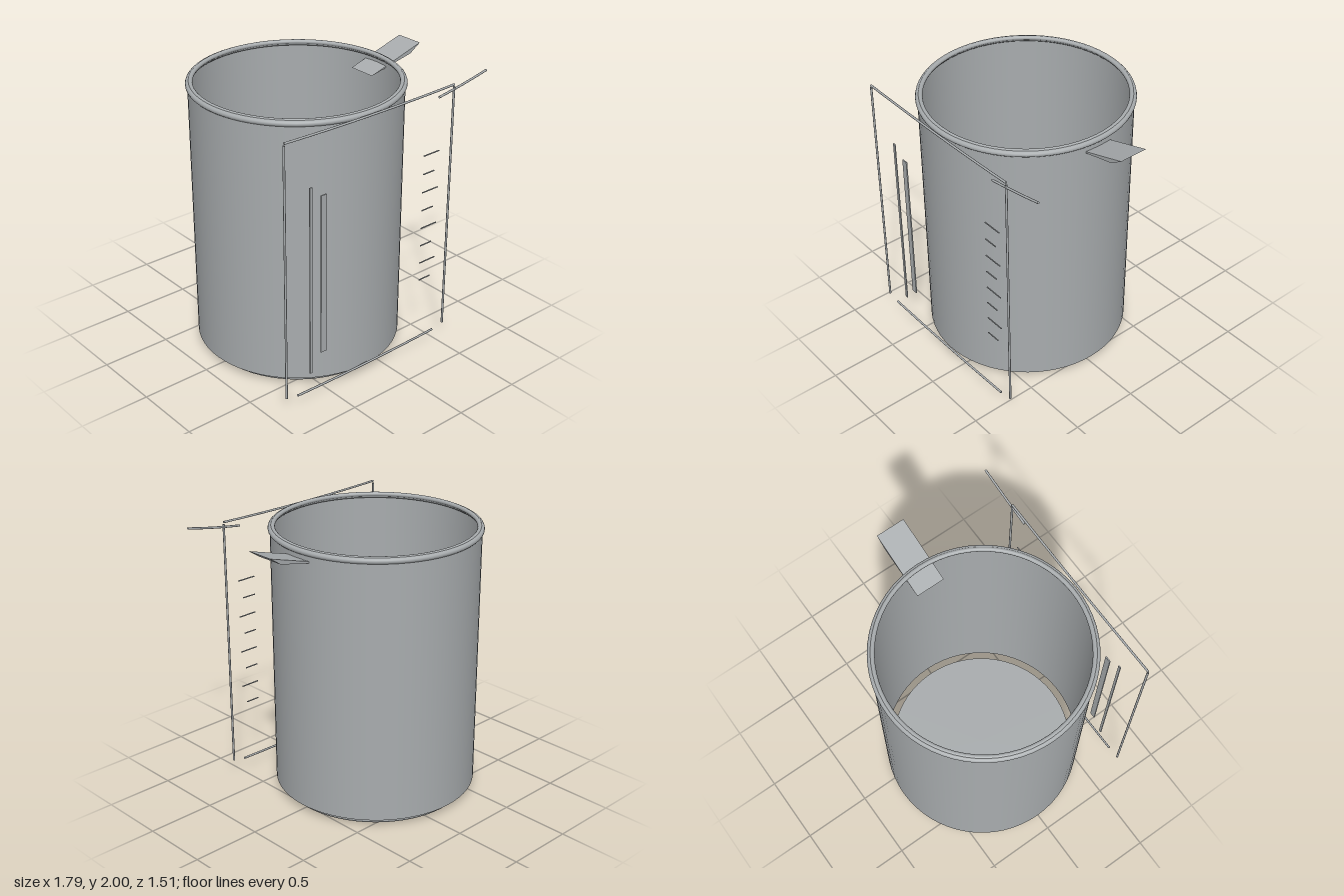
import * as THREE from 'three';

const CX = -0.156, CZ = -0.012; // vessel axis
const FRONT = 0.746;            // plane of the outline rods

export function createModel() {
  const group = new THREE.Group();
  const glass = new THREE.MeshStandardMaterial({ color: 0xa8acae, side: THREE.DoubleSide });
  glass.name = 'glass grey';

  const add = (name, geometry, x = 0, y = 0, z = 0) => {
    const mesh = new THREE.Mesh(geometry, glass);
    mesh.name = name;
    mesh.position.set(x, y, z);
    group.add(mesh);
    return mesh;
  };

  // Open wall and separate base disc
  add('wall', new THREE.CylinderGeometry(0.729, 0.729, 1.91, 64, 1, true), CX, 1.005, CZ);
  add('base', new THREE.CylinderGeometry(0.682, 0.682, 0.035, 64), CX, 0.0325, CZ);
  add('baseFoot', new THREE.CylinderGeometry(0.682, 0.672, 0.015, 64), CX, 0.0075, CZ);

  // Rolled rim with an inner bead
  const ring = (name, radius, tube, y) =>
    add(name, new THREE.TorusGeometry(radius, tube, 12, 64).rotateX(Math.PI / 2), CX, y, CZ);
  ring('rim', 0.722, 0.021, 1.953);
  ring('rimBead', 0.709, 0.016, 1.964);

  // Pouring spout: a wedge rising outward
  const profile = new THREE.Shape([
    new THREE.Vector2(0.435, 1.86),
    new THREE.Vector2(0.8, 1.937),
    new THREE.Vector2(0.89, 1.997),
  ]);
  add('spout', new THREE.ExtrudeGeometry(profile, { depth: 0.21, bevelEnabled: false }), 0, 0, -0.118);

  // Thin outline rods in front of the vessel, each bent through three points
  const rod = (name, points) => {
    const curve = new THREE.QuadraticBezierCurve3(
      ...points.map(([x, y]) => new THREE.Vector3(x, y, FRONT)));
    add(name, new THREE.TubeGeometry(curve, 16, 0.008, 8, false));
  };
  for (const [side, x] of [['right', -0.88], ['left', 0.57]]) {
    rod(side + 'SideRod', [[x, 0.11], [x, 1.03], [x, 1.95]]);
  }
  rod('topRod', [[-0.88, 1.965], [CX, 1.94], [0.57, 1.965]]);
  rod('bottomRod', [[-0.785, 0.09], [CX, 0.07], [0.47, 0.09]]);
  rod('spoutRod', [[0.432, 1.91], [0.65, 1.94], [0.875, 1.99]]);

  // Upright highlight strips
  add('narrowStrip', new THREE.BoxGeometry(0.02, 1.385, 0.008), -0.662, 0.905, 0.738);
  add('wideStrip', new THREE.BoxGeometry(0.045, 1.175, 0.009), -0.553, 0.925, 0.735);

  // Measuring marks, alternating long and short
  for (let i = 0; i < 8; i++) {
    const length = i % 2 ? 0.105 : 0.145;
    add('mark', new THREE.BoxGeometry(length, 0.007, 0.006), 0.327 + length / 2, 1.51 - i * 0.137, 0.733);
  }
  return group;
}
